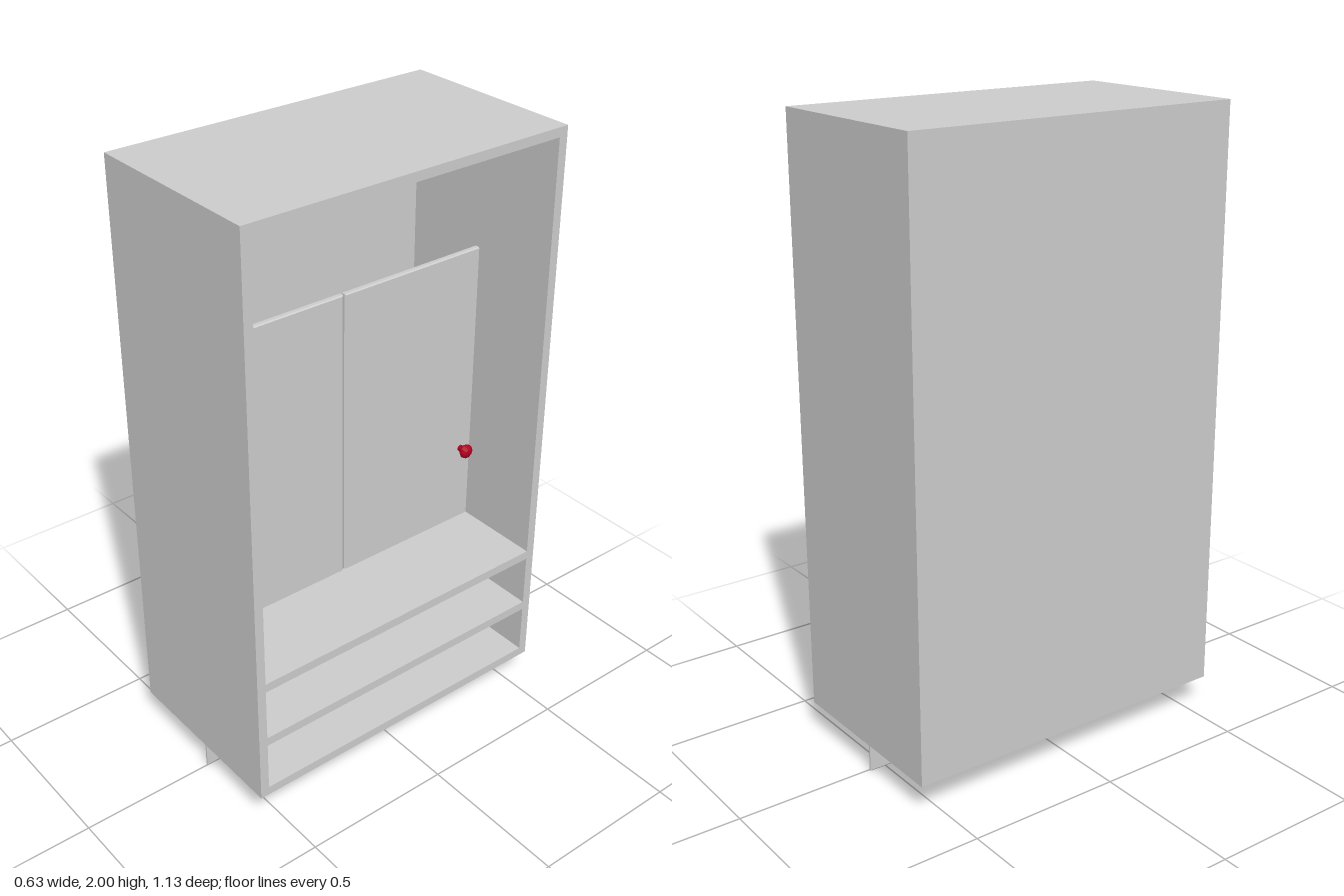
import * as THREE from 'three';

const grey = new THREE.MeshStandardMaterial({ color: 0xcccccc, flatShading: true });
const red = new THREE.MeshStandardMaterial({ color: 0xb00020, flatShading: true });

function add(parent, name, geometry, material, x = 0, y = 0, z = 0) {
  const mesh = new THREE.Mesh(geometry, material);
  mesh.name = name;
  mesh.position.set(x, y, z);
  parent.add(mesh);
  return mesh;
}

// Upright panel in the y-z plane, with a small chamfer all round, centred on its origin
function panel(width, height, thickness, bevel = 0.004) {
  const w = width / 2 - bevel, h = height / 2 - bevel;
  const shape = new THREE.Shape([[-w, -h], [w, -h], [w, h], [-w, h]].map(p => new THREE.Vector2(...p)));
  const geo = new THREE.ExtrudeGeometry(shape, {
    depth: thickness - 2 * bevel, bevelEnabled: true, bevelSegments: 1, bevelSize: bevel, bevelThickness: bevel,
  });
  return geo.center().rotateY(Math.PI / 2);
}

export function createModel() {
  const group = new THREE.Group();
  group.name = 'wardrobe';

  // Carcass: frame with three compartments, open towards +x
  const rect = (Type, w, y0, y1) =>
    new Type([[-w, y0], [w, y0], [w, y1], [-w, y1]].map(p => new THREE.Vector2(...p)));
  const frame = rect(THREE.Shape, 0.565, 0.1, 2);
  for (const [y0, y1] of [[0.13, 0.3], [0.33, 0.51], [0.54, 1.97]]) {
    frame.holes.push(rect(THREE.Path, 0.535, y0, y1));
  }
  const frameGeo = new THREE.ExtrudeGeometry(frame, { depth: 0.6, bevelEnabled: false }).rotateY(Math.PI / 2);
  add(group, 'carcass', frameGeo, grey, -0.285);
  add(group, 'backPanel', new THREE.BoxGeometry(0.03, 1.9, 1.13), grey, -0.3, 1.05, 0);

  // Pair of doors standing halfway into the carcass, each with a knob
  const knobProfile = [[0, 0], [0.011, 0], [0.011, 0.012], [0.019, 0.018], [0.025, 0.028],
    [0.022, 0.038], [0.012, 0.044], [0, 0.046]].map(p => new THREE.Vector2(...p));
  const knobGeo = new THREE.LatheGeometry(knobProfile, 10).rotateZ(-Math.PI / 2);
  for (const side of [1, -1]) {
    const door = new THREE.Group();
    door.name = side > 0 ? 'leftDoor' : 'rightDoor';
    door.position.set(0.006, 0.815, 0);
    add(door, 'doorPanel', panel(0.55, 1.428, 0.02), grey, 0, 0, side * 0.2775);
    add(door, 'knob', knobGeo, red, 0.01, 0, side * 0.493);
    group.add(door);
  }

  // Drawer front reaching below the carcass, with a bowed pull
  const drawer = new THREE.Group();
  drawer.name = 'drawer';
  drawer.position.set(-0.005, 0.1, 0);
  add(drawer, 'drawerFront', panel(1.108, 0.2, 0.018, 0.006), grey);
  const bow = new THREE.CatmullRomCurve3([[0, -0.06], [0.03, -0.055], [0.043, -0.03], [0.045, 0],
    [0.043, 0.03], [0.03, 0.055], [0, 0.06]].map(([x, z]) => new THREE.Vector3(x, 0, z)));
  add(drawer, 'drawerPull', new THREE.TubeGeometry(bow, 24, 0.005, 8), grey);
  group.add(drawer);

  return group;
}
